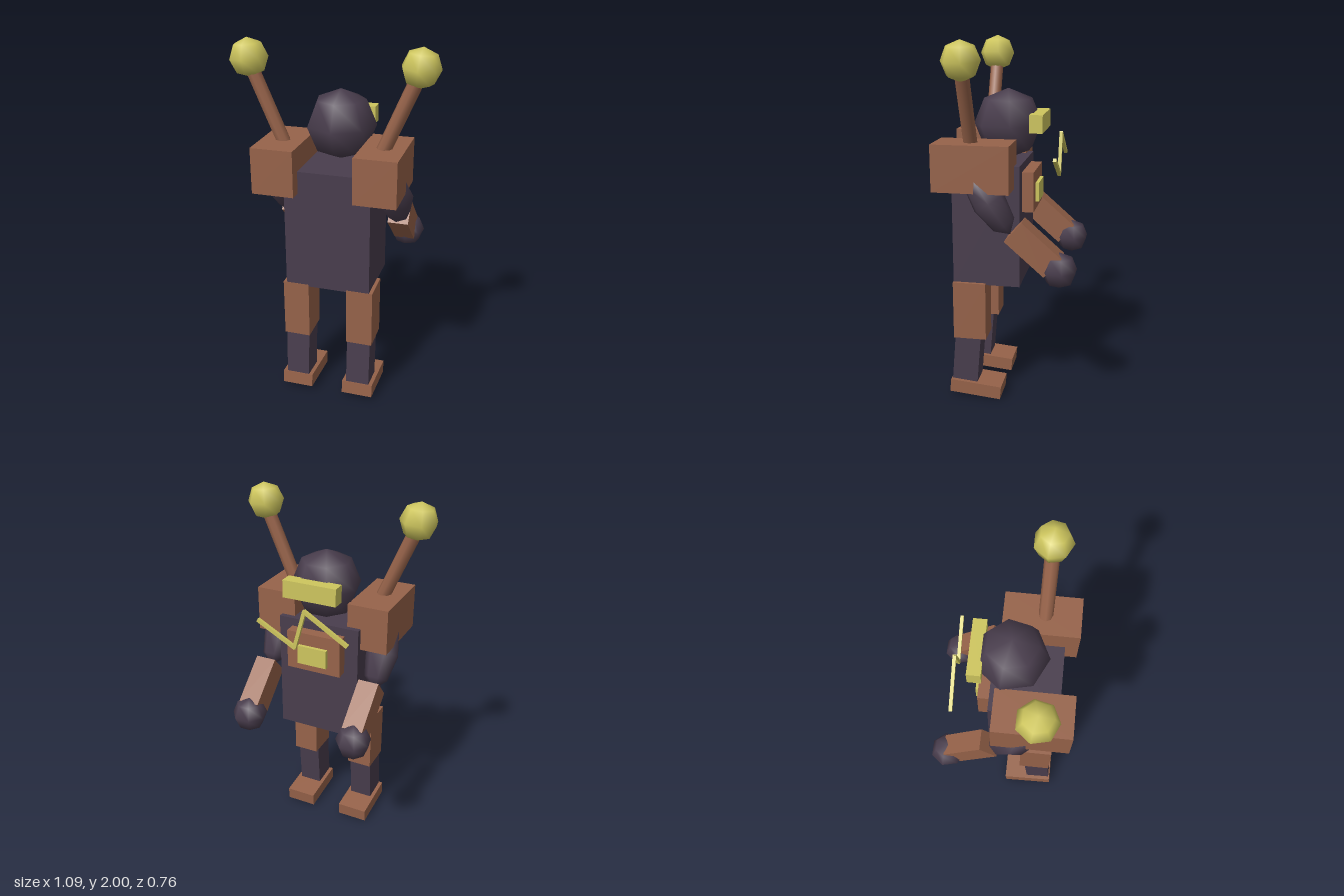
import * as THREE from 'three';

export function createModel() {
  const model = new THREE.Group();
  model.name = 'robot';

  const material = (name, color) => {
    const m = new THREE.MeshStandardMaterial({ color });
    m.name = name;
    return m;
  };
  const dark = material('dark plum', 0x493d4d);
  const brown = material('copper brown', 0x97634a);
  const yellow = material('pale yellow', 0xcec65e);

  const add = (name, geometry, mat, position, tiltX = 0, tiltZ = 0) => {
    const mesh = new THREE.Mesh(geometry, mat);
    mesh.name = name;
    mesh.position.set(...position);
    mesh.rotation.set(tiltX, 0, tiltZ);
    model.add(mesh);
    return mesh;
  };
  const box = (w, h, d) => new THREE.BoxGeometry(w, h, d);
  // Seven-sided smooth ball with one corner pointing to +z
  const ball = (r) => new THREE.SphereGeometry(r, 7, 4).rotateY(Math.PI / 2);

  // Body and head
  add('torso', box(0.47, 0.67, 0.37), dark, [0, 1.015, 0.123]);
  add('head', ball(0.192), dark, [0, 1.543, 0.04]);
  add('visor', box(0.305, 0.097, 0.072), yellow, [0, 1.562, -0.134]);
  add('chestPanel', box(0.314, 0.22, 0.07), brown, [0, 1.195, -0.09]);
  add('chestPlate', box(0.17, 0.106, 0.025), yellow, [0, 1.182, -0.132]);

  // Zigzag of thin bars floating ahead of the chest
  const zigzag = [[0.258, 1.395], [0.045, 1.28], [-0.015, 1.495], [-0.253, 1.352]];
  for (let i = 0; i < 3; i++) {
    const [x0, y0] = zigzag[i], [x1, y1] = zigzag[i + 1];
    const dx = x1 - x0, dy = y1 - y0;
    add('zigzagBar', box(Math.hypot(dx, dy) + 0.01, 0.02, 0.018), yellow,
      [(x0 + x1) / 2, (y0 + y1) / 2, -0.249], 0, Math.atan2(dy, dx));
  }

  for (const [side, s] of [['left', 1], ['right', -1]]) {
    // Shoulder with antenna
    add(side + 'Shoulder', box(0.228, 0.25, 0.41), brown, [s * 0.271, 1.355, 0.173]);
    const from = new THREE.Vector2(0.24, 1.4), to = new THREE.Vector2(0.445, 1.88);
    const rod = to.clone().sub(from);
    add(side + 'Antenna', new THREE.CylinderGeometry(0.038, 0.038, rod.length(), 8), brown,
      [s * (from.x + to.x) / 2, (from.y + to.y) / 2, 0.19], 0, -s * Math.atan2(rod.x, rod.y));
    add(side + 'AntennaBall', ball(0.102), yellow, [s * 0.445, 1.9, 0.19], 0, -s * 0.08);

    // Arm reaching forward
    add(side + 'UpperArm', ball(1).scale(0.094, 0.2, 0.094), dark, [s * 0.319, 1.172, 0.085], 0.6);
    add(side + 'Forearm', box(0.116, 0.28, 0.14), brown, [s * 0.315, 0.94, -0.155], 0.85);
    add(side + 'Hand', ball(0.098), dark, [s * 0.318, 0.823, -0.29]);

    // Leg
    add(side + 'Thigh', box(0.146, 0.33, 0.184), brown, [s * 0.181, 0.525, 0.217]);
    add(side + 'Shin', box(0.132, 0.3, 0.145), dark, [s * 0.178, 0.235, 0.24], -0.08);
    add(side + 'Foot', box(0.176, 0.075, 0.292), brown, [s * 0.178, 0.052, 0.187], -0.09);
  }

  return model;
}
